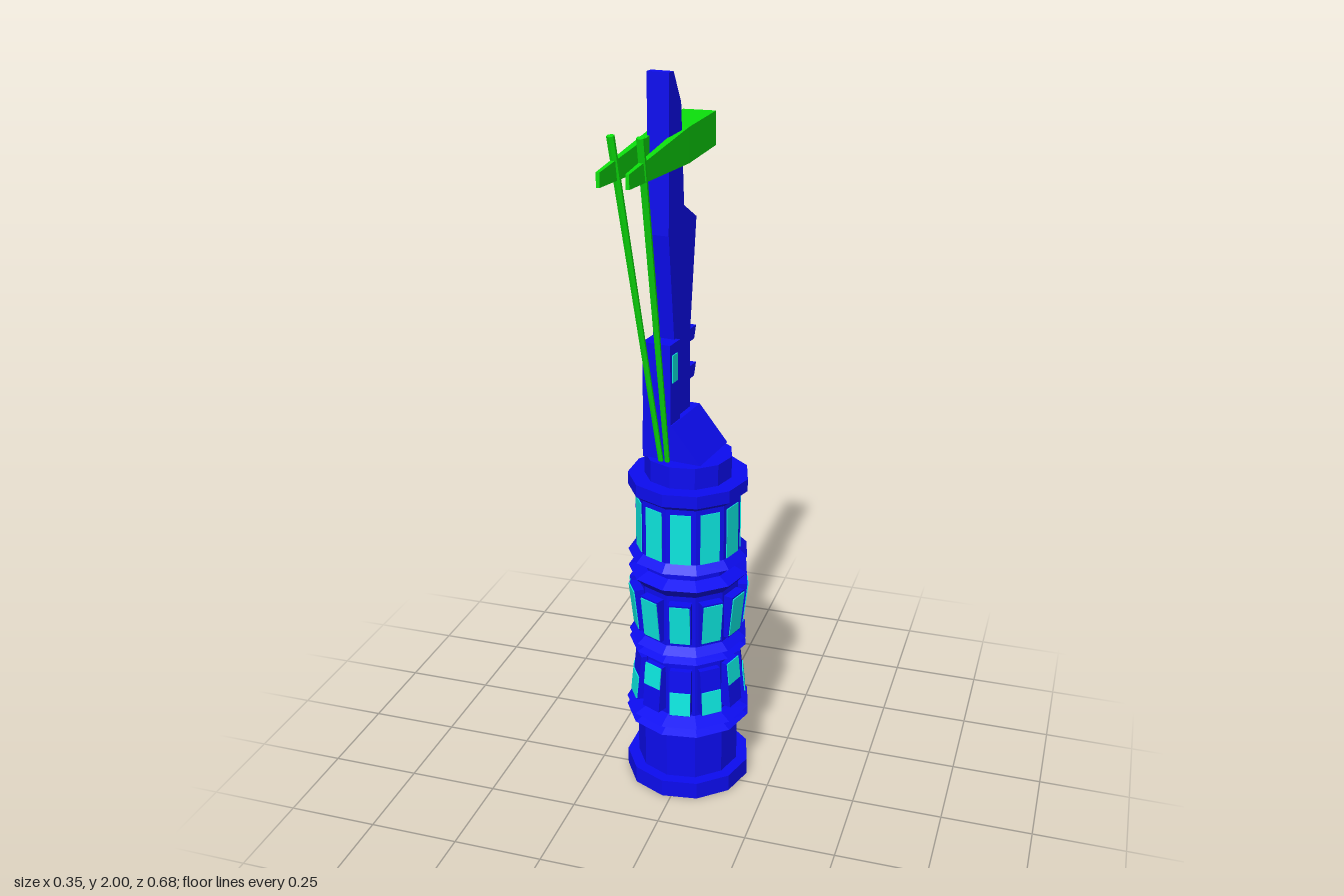
import * as THREE from 'three';

const mat = (color, side = THREE.FrontSide) =>
  new THREE.MeshStandardMaterial({ color, flatShading: true, side });
const SIDES = 11;

export function createModel() {
  const model = new THREE.Group();
  const blue = mat(0x0c0cf0), shell = mat(0x0c0cf0, THREE.DoubleSide);
  const cyan = mat(0x0ce8e0), green = mat(0x0ce00c);

  const add = (parent, name, geo, material, x = 0, y = 0, z = 0) => {
    const m = new THREE.Mesh(geo, material);
    m.name = name;
    m.position.set(x, y, z);
    parent.add(m);
    return m;
  };
  const box = (parent, name, material, [x0, x1], [y0, y1], [z0, z1]) =>
    add(parent, name, new THREE.BoxGeometry(x1 - x0, y1 - y0, z1 - z0), material,
      (x0 + x1) / 2, (y0 + y1) / 2, (z0 + z1) / 2);

  // Tower shell: eleven-sided drum with base, sharp rings and cornice, open below
  const tower = new THREE.Group();
  tower.name = 'tower';
  tower.position.z = -0.04;
  model.add(tower);
  const profile = [
    [0.138, 0.2], [0.138, 0.05], [0.145, 0], [0.177, 0], [0.177, 0.05], [0.145, 0.05], [0.145, 0.195],
    [0.177, 0.205], [0.15, 0.217], [0.177, 0.232], [0.135, 0.25], [0.135, 0.42],
    [0.167, 0.432], [0.14, 0.444], [0.167, 0.457], [0.142, 0.475], [0.142, 0.63],
    [0.167, 0.658], [0.13, 0.675], [0.13, 0.69], [0.167, 0.708], [0.145, 0.73], [0.145, 0.89],
    [0.165, 0.905], [0.165, 0.94], [0.12, 0.94], [0.12, 1], [0, 1],
  ].map(([r, y]) => new THREE.Vector2(r, y));
  add(tower, 'towerShell', new THREE.LatheGeometry(profile, SIDES, Math.PI / 2), shell);

  // A panel on side k, leaning from distance d0 at y0 to d1 at y1
  const panel = (name, material, k, y0, y1, d0, d1, width, depth) => {
    const a = (k + 0.5) * 2 * Math.PI / SIDES;
    const geo = new THREE.BoxGeometry(width, y1 - y0, depth);
    const p = geo.attributes.position;
    for (let i = 0; i < p.count; i++)
      p.setZ(i, p.getZ(i) - depth / 2 + (p.getY(i) > 0 ? d1 : d0));
    const m = add(tower, name, geo, material, 0, (y0 + y1) / 2, 0);
    m.rotation.y = Math.PI / 2 - a;
  };
  const raised = [0, 3, 7, 9];
  for (let k = 0; k < SIDES; k++) {
    // lower floor: panels flaring downwards with staggered windows
    panel('lowerPanel', blue, k, 0.265, 0.4, 0.16, 0.146, 0.06, 0.03);
    if (raised.includes(k)) panel('lowerWindow', cyan, k, 0.335, 0.4, 0.156, 0.149, 0.058, 0.008);
    else panel('lowerWindow', cyan, k, 0.268, 0.335, 0.163, 0.156, 0.058, 0.008);
    // middle floor: windows flaring upwards
    panel('middlePanel', blue, k, 0.487, 0.615, 0.15, 0.163, 0.062, 0.03);
    panel('middleWindow', cyan, k, 0.492, 0.61, 0.153, 0.166, 0.056, 0.008);
    // upper floor: flush windows
    panel('upperWindow', cyan, k, 0.73, 0.875, 0.142, 0.142, 0.056, 0.008);
  }

  // Spire, turned slightly about its own axis
  const spire = new THREE.Group();
  spire.name = 'spire';
  spire.position.x = -0.065;
  spire.rotation.y = -0.13;
  model.add(spire);
  const extrude = (points, depth) => new THREE.ExtrudeGeometry(
    new THREE.Shape(points.map(([x, y]) => new THREE.Vector2(x, y))),
    { depth, bevelEnabled: false });

  // sloping base block
  add(spire, 'spireBase', extrude([[-0.04, 1], [0.128, 1], [0.045, 1.1], [-0.04, 1.1]], 0.18),
    blue, 0, 0, -0.15);
  // tall fin, drawn in (-z, y) and turned upright
  const fin = [[0, 1], [0.12, 1], [0.12, 1.32], [0.158, 1.615], [0.082, 1.66], [0.065, 1.92],
    [0.022, 2], [-0.003, 2], [-0.01, 1.6], [0.02, 1.32]];
  add(spire, 'fin', extrude(fin, 0.06), blue, -0.03, 0, 0).rotation.y = Math.PI / 2;
  // front column with side windows
  const column = [[-0.03, 1], [0.03, 1], [0.03, 1.32], [-0.03, 1.32]];
  add(spire, 'column', extrude(column, 0.08), blue, -0.038, 0, 0).rotation.y = Math.PI / 2;
  box(spire, 'columnWindow', cyan, [-0.036, 0.045], [1.215, 1.29], [-0.01, 0.02]);
  // rear ledges
  for (const y of [1.18, 1.285])
    add(spire, 'ledge', extrude([[0.1, y], [0.145, y], [0.158, y + 0.035], [0.1, y + 0.035]], 0.06),
      blue, -0.03, 0, 0).rotation.y = Math.PI / 2;

  // Crane beam: heavy rear block with two tapering arms
  const crane = new THREE.Group();
  crane.name = 'crane';
  model.add(crane);
  box(crane, 'counterweight', green, [-0.109, -0.018], [1.762, 1.853], [-0.34, -0.1]);
  for (const s of [-1, 1]) {
    const geo = new THREE.BoxGeometry(1, 1, 1);
    const p = geo.attributes.position;
    for (let i = 0; i < p.count; i++) {
      const tip = p.getZ(i) > 0, outer = p.getX(i) * s > 0, up = p.getY(i) > 0;
      const off = tip ? (outer ? 0.04 : 0.031) : (outer ? 0.0455 : 0.023);
      p.setXYZ(i, -0.0635 + s * off,
        tip ? (up ? 1.825 : 1.79) : (up ? 1.853 : 1.762), tip ? 0.34 : -0.1);
    }
    add(crane, 'craneArm', geo, green);
  }

  // Leaning stay rods
  const rod = (a, b) => {
    const dir = b.clone().sub(a);
    const m = add(crane, 'stayRod', new THREE.CylinderGeometry(0.01, 0.007, dir.length(), 6), green);
    m.position.copy(a).add(b).multiplyScalar(0.5);
    m.quaternion.setFromUnitVectors(new THREE.Vector3(0, 1, 0), dir.normalize());
  };
  rod(new THREE.Vector3(-0.052, 1, 0.042), new THREE.Vector3(-0.101, 1.89, 0.246));
  rod(new THREE.Vector3(-0.034, 1, 0.042), new THREE.Vector3(-0.027, 1.89, 0.25));

  return model;
}
